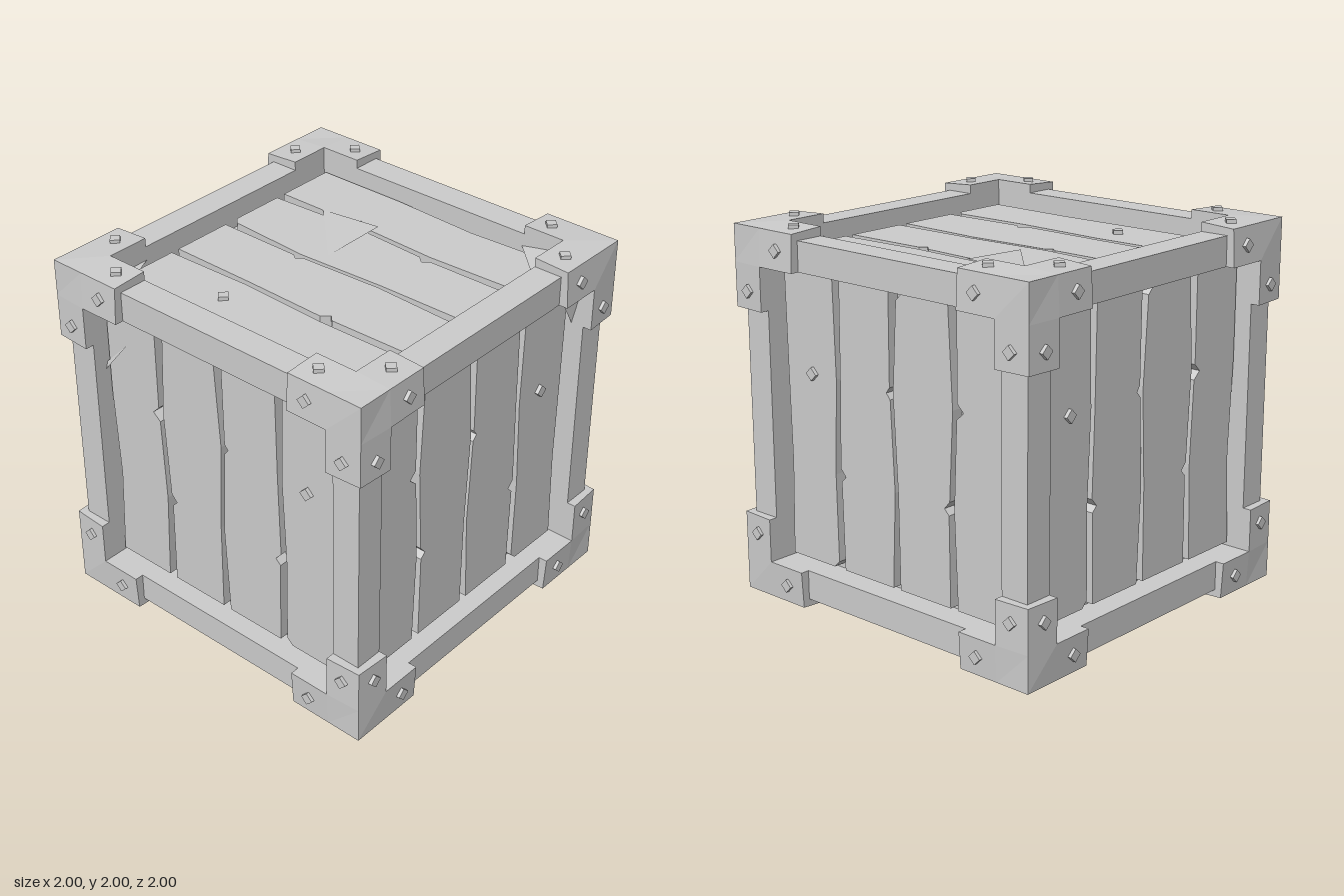
import * as THREE from 'three';

const V = (x, y, z) => new THREE.Vector3(x, y, z);
const material = new THREE.MeshStandardMaterial({ color: 0xcccccc, flatShading: true });
const thin = new THREE.MeshStandardMaterial({ color: 0xcccccc, flatShading: true, side: THREE.DoubleSide });

// frame sizes, measured from the crate's centre
const INNER = 0.782, BEAM = 0.939, EDGE = 0.976, OUTER = 0.987, ARM = 0.55, PLANK = 0.855, CORE = 0.79;

// plank outlines on one side (across, along), anticlockwise from the lower left
const PLANKS = [
  [[-0.765, -0.755], [-0.425, -0.755], [-0.405, -0.25], [-0.425, 0.21], [-0.47, 0.25], [-0.43, 0.29],
    [-0.43, 0.755], [-0.765, 0.755], [-0.765, 0.25], [-0.74, -0.25]],
  [[-0.375, -0.755], [-0.035, -0.755], [-0.03, -0.25], [-0.006, 0.25], [-0.035, 0.72], [-0.07, 0.755],
    [-0.375, 0.755], [-0.4, 0.25], [-0.375, -0.21], [-0.34, -0.25], [-0.37, -0.28]],
  [[0.015, -0.755], [0.36, -0.755], [0.37, -0.28], [0.34, -0.25], [0.375, -0.21], [0.362, 0.25],
    [0.355, 0.755], [0.015, 0.755], [0.018, 0.28], [0.04, 0.25], [0.014, 0.22], [-0.008, -0.25]],
  [[0.44, -0.755], [0.745, -0.755], [0.73, -0.25], [0.74, 0.25], [0.748, 0.755], [0.403, 0.755],
    [0.39, 0.25], [0.412, -0.25], [0.405, -0.72]],
];

// across and outward directions per side; mirrored sides reverse the outlines
const SIDES = [
  { name: 'front', a: V(1, 0, 0), b: V(0, 1, 0), n: V(0, 0, 1), m: 1 },
  { name: 'right', a: V(0, 0, -1), b: V(0, 1, 0), n: V(1, 0, 0), m: 1 },
  { name: 'back', a: V(-1, 0, 0), b: V(0, 1, 0), n: V(0, 0, -1), m: -1 },
  { name: 'left', a: V(0, 0, 1), b: V(0, 1, 0), n: V(-1, 0, 0), m: -1 },
  { name: 'top', a: V(0, 0, -1), b: V(-1, 0, 0), n: V(0, 1, 0), m: -1 },
  { name: 'bottom', a: V(0, 0, 1), b: V(-1, 0, 0), n: V(0, -1, 0), m: 1 },
];

function add(parent, name, geometry, mat = material) {
  const mesh = new THREE.Mesh(geometry, mat);
  mesh.name = name;
  parent.add(mesh);
  return mesh;
}

function boxBetween(lo, hi) {
  const size = hi.clone().sub(lo), mid = hi.clone().add(lo).multiplyScalar(0.5);
  return new THREE.BoxGeometry(Math.abs(size.x), Math.abs(size.y), Math.abs(size.z)).translate(mid.x, mid.y, mid.z);
}

// diamond-set square nail head whose top stands at the given height
function addStud(parent, name, x, y, top) {
  const stud = add(parent, name, new THREE.BoxGeometry(0.05, 0.05, 0.04));
  stud.position.set(x, y, top - 0.02);
  stud.rotation.z = Math.PI / 4;
}

function addSide(crate, { name, a, b, n, m }) {
  const side = new THREE.Group();
  side.name = name + 'Side';
  side.quaternion.setFromRotationMatrix(new THREE.Matrix4().makeBasis(a, b, n));
  for (const outline of PLANKS) {
    const shape = new THREE.Shape(outline.map(([u, v]) => new THREE.Vector2(u * m, v)));
    const geometry = new THREE.ExtrudeGeometry(shape, { depth: PLANK - CORE + 0.01, bevelEnabled: false });
    add(side, 'plank', geometry.translate(0, 0, CORE - 0.01));
  }
  addStud(side, 'plankStud', 0.555 * m, 0.25, PLANK + 0.02);
  for (const sx of [-1, 1]) for (const sy of [-1, 1]) {
    addStud(side, 'cornerStud', sx * 0.66, sy * 0.88, 1);
    addStud(side, 'cornerStud', sx * 0.875, sy * 0.645, 1);
  }
  crate.add(side);
}

// three arms meeting in a block, with faces sloping down to the outer edges
function addCorner(crate, sx, sy, sz) {
  const corner = new THREE.Group();
  corner.name = 'cornerBracket';
  const lows = [[INNER, INNER, INNER], [ARM, INNER, INNER], [INNER, ARM, INNER], [INNER, INNER, ARM]];
  lows.forEach((low, i) => {
    const high = [0, 1, 2].map((k) => (i && k === i - 1 ? INNER : OUTER));
    const s = V(sx, sy, sz);
    const geometry = boxBetween(V(...low).multiply(s), V(...high).multiply(s));
    const pos = geometry.attributes.position;
    for (let j = 0; j < pos.count; j++) {
      const p = [pos.getX(j), pos.getY(j), pos.getZ(j)];
      const outer = p.map((c) => Math.abs(c) > 0.95);
      if (outer.filter(Boolean).length < 2) continue;
      pos.setXYZ(j, ...p.map((c, k) => (outer[k] ? Math.sign(c) * EDGE : c)));
    }
    geometry.computeVertexNormals();
    add(corner, i ? 'bracketArm' : 'bracketBlock', geometry);
  });
  crate.add(corner);
}

function addSplinter(crate, name, ...points) {
  const geometry = new THREE.BufferGeometry().setFromPoints(points);
  geometry.computeVertexNormals();
  add(crate, name, geometry, thin);
}

export function createModel() {
  const model = new THREE.Group();
  model.name = 'crate';
  const crate = new THREE.Group();
  crate.name = 'crateBody';
  crate.position.y = 1;
  model.add(crate);

  // backing behind the planks
  add(crate, 'core', new THREE.BoxGeometry(2 * CORE, 2 * CORE, 2 * CORE));

  // twelve edge beams
  const mid = (INNER + BEAM) / 2, thick = BEAM - INNER;
  for (const s of [-1, 1]) for (const t of [-1, 1]) {
    add(crate, 'beam', new THREE.BoxGeometry(2 * BEAM, thick, thick)).position.set(0, s * mid, t * mid);
    add(crate, 'beam', new THREE.BoxGeometry(thick, 2 * BEAM, thick)).position.set(s * mid, 0, t * mid);
    add(crate, 'beam', new THREE.BoxGeometry(thick, thick, 2 * BEAM)).position.set(s * mid, t * mid, 0);
    for (const u of [-1, 1]) addCorner(crate, s, t, u);
  }

  SIDES.forEach((side) => addSide(crate, side));

  // worn webs in the bracket angles
  addSplinter(crate, 'lidWeb', V(0.54, 0.87, -0.78), V(0.78, 0.87, -0.55), V(0.78, 0.92, -0.78));
  addSplinter(crate, 'sideWeb', V(0.87, 0.78, -0.64), V(0.87, 0.55, -0.78), V(0.92, 0.78, -0.78));
  addSplinter(crate, 'frontWeb', V(0.66, 0.78, 0.865), V(0.78, 0.78, 0.865), V(0.78, 0.63, 0.865));
  for (const s of [-1, 1]) {
    addSplinter(crate, 'lowerWeb', V(-0.78, s * 0.865, 0.55), V(-0.78, s * 0.865, 0.78), V(-0.67, s * 0.865, 0.78));
  }

  // lifted splinters on the lid and front
  addSplinter(crate, 'lidSplinter', V(-0.48, 0.857, -0.43), V(-0.14, 0.857, -0.08), V(-0.13, 0.87, -0.46));
  addSplinter(crate, 'frontSplinter', V(-0.78, 0.38, 0.87), V(-0.63, 0.57, 0.858), V(-0.78, 0.42, 0.858));
  return model;
}
